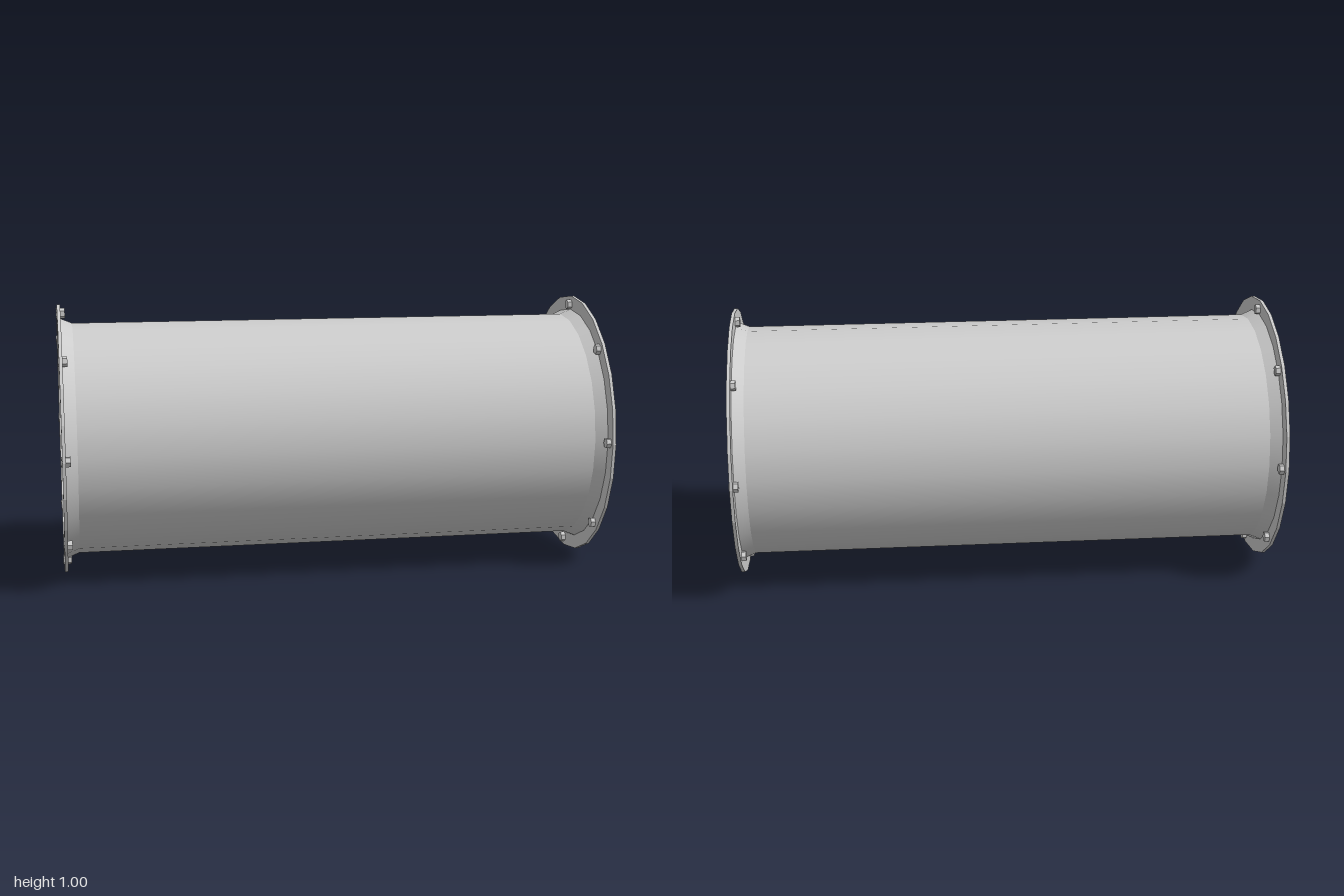
import * as THREE from 'three';

const SIDES = 24;
const PIPE_R = 0.43, FLARE_R = 0.448, FLANGE_R = 0.5, BOLT_RING_R = 0.467;
const PIPE_END = 0.943, FLANGE_IN = 0.985, FLANGE_OUT = 0.997;

const smooth = new THREE.MeshStandardMaterial({ color: 0xcccccc, side: THREE.DoubleSide });
const faceted = new THREE.MeshStandardMaterial({ color: 0xcccccc, flatShading: true });

// Revolve [radius, x] points around the x axis
function revolve(name, points, material) {
  const profile = points.map(([r, x]) => new THREE.Vector2(r, x));
  const geometry = new THREE.LatheGeometry(profile, SIDES).rotateZ(-Math.PI / 2);
  const mesh = new THREE.Mesh(geometry, material);
  mesh.name = name;
  return mesh;
}

// Flared collar, flat ring and eight bolts, built for the +x end
function createEnd(name) {
  const end = new THREE.Group();
  end.name = name;

  end.add(revolve('flare', [[PIPE_R, PIPE_END], [FLARE_R, FLANGE_IN]], smooth));
  end.add(revolve('flangeRing', [
    [FLARE_R, FLANGE_IN], [FLANGE_R, FLANGE_IN],
    [FLANGE_R, FLANGE_OUT], [FLARE_R, FLANGE_OUT], [FLARE_R, FLANGE_IN],
  ], faceted));

  // Hexagonal bolts pass through the ring, one corner pointing outward
  const inner = 0.968, outer = 1;
  const boltGeometry = new THREE.CylinderGeometry(0.019, 0.019, outer - inner, 6)
    .rotateY(Math.PI / 6)
    .rotateZ(-Math.PI / 2)
    .translate((inner + outer) / 2, BOLT_RING_R, 0);
  for (let i = 0; i < 8; i++) {
    const bolt = new THREE.Mesh(boltGeometry, faceted);
    bolt.name = 'bolt';
    bolt.rotation.x = (i * Math.PI) / 4;
    end.add(bolt);
  }
  return end;
}

export function createModel() {
  const model = new THREE.Group();
  model.name = 'flangedPipe';

  // Open thin-walled tube
  const body = new THREE.Group();
  body.name = 'pipeAssembly';
  body.position.y = FLANGE_R;
  body.add(revolve('pipeWall', [[PIPE_R, -PIPE_END], [PIPE_R, PIPE_END]], smooth));

  // Matching flanges at both ends
  const leftEnd = createEnd('leftFlange');
  const rightEnd = createEnd('rightFlange');
  rightEnd.rotation.y = Math.PI;
  body.add(leftEnd, rightEnd);

  model.add(body);
  return model;
}
